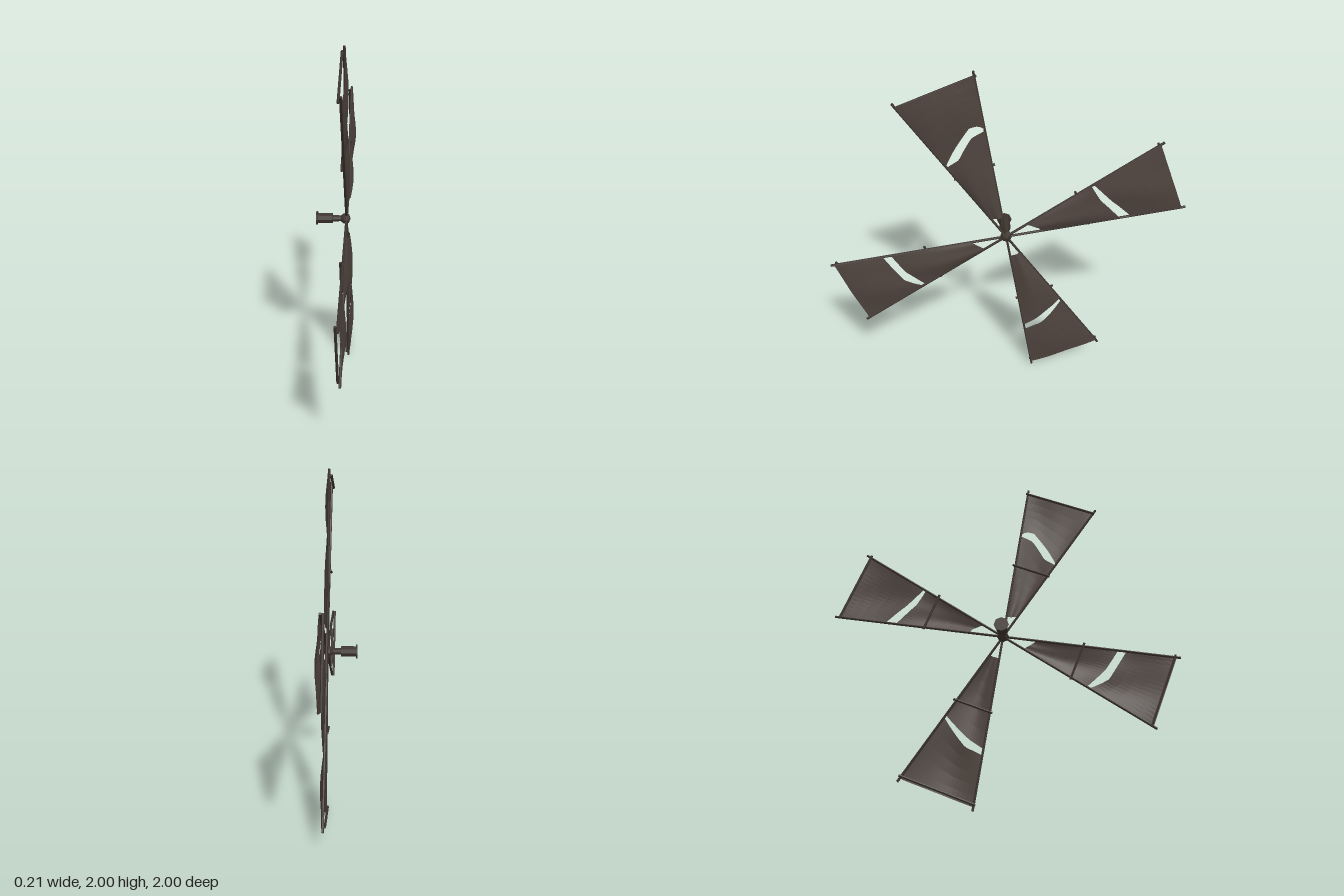
import * as THREE from 'three';

const wood = new THREE.MeshStandardMaterial({ color: 0x3d342e, flatShading: true });
wood.name = 'dark wood';
const canvas = new THREE.MeshStandardMaterial({ color: 0x4e433d, flatShading: true, side: THREE.DoubleSide });
canvas.name = 'worn canvas';

const SLOPE = 0.2235;               // half width of a sail per unit of its length
const HALF = Math.atan(SLOPE);

// Edges across each sail as [side -1..1, distance along sail]: hub end, both lips of the tear
const SAILS = [
  { hub: [[-1, .2], [-.28, .19], [.9, .14], [1, .13]],
    lip: [[-1, .63], [.13, .566], [1, .548]],
    rip: [[-1, .69], [-.09, .623], [1, .562]] },
  { hub: [[-1, .13], [1, .15]],
    lip: [[-1, .667], [-.47, .657], [.32, .567], [1, .545]],
    rip: [[-1, .675], [-.82, .706], [-.51, .715], [1, .55]] },
  { hub: [[-1, .19], [-.8, .18], [1, .13]],
    lip: [[-1, .645], [-.12, .616], [1, .55]],
    rip: [[-1, .69], [.23, .653], [1, .565]] },
  { hub: [[-1, .13], [1, .13]],
    lip: [[-1, .655], [-.34, .631], [1, .55]],
    rip: [[-1, .69], [-.3, .678], [1, .565]] },
];
const TIP = [[-1, .966], [1, .966]];

// Height of an edge polyline at side position f
function edgeAt(edge, f) {
  let i = 0;
  while (i < edge.length - 2 && f > edge[i + 1][0]) i++;
  const [a, b] = [edge[i], edge[i + 1]];
  return THREE.MathUtils.lerp(a[1], b[1], (f - a[0]) / (b[0] - a[0]));
}

// Billowing cloth panel between two edges
function clothPanel(name, inner, outer, rows, phase) {
  const geo = new THREE.PlaneGeometry(2, 1, 16, rows);
  const p = geo.attributes.position;
  for (let i = 0; i < p.count; i++) {
    const f = p.getX(i), v = p.getY(i) + 0.5;
    const s = THREE.MathUtils.lerp(edgeAt(inner, f), edgeAt(outer, f), v);
    const belly = (1 - f * f) * Math.sin(Math.PI * (0.12 + 0.76 * v));
    const wrinkle = 0.003 * (1 - f * f) * Math.sin(9 * s + 4 * f + phase);
    p.setXYZ(i, s, f * s * SLOPE, 0.007 + 0.02 * belly + wrinkle);
  }
  geo.computeVertexNormals();
  const mesh = new THREE.Mesh(geo, canvas);
  mesh.name = name;
  return mesh;
}

// Six-sided wooden rod between two points
function rod(name, a, b, radius) {
  const d = b.clone().sub(a);
  const mesh = new THREE.Mesh(new THREE.CylinderGeometry(radius, radius, d.length(), 6), wood);
  mesh.position.copy(a).addScaledVector(d, 0.5);
  mesh.quaternion.setFromUnitVectors(new THREE.Vector3(0, 1, 0), d.normalize());
  mesh.name = name;
  return mesh;
}

function makeSail(edges, k) {
  const sail = new THREE.Group();
  sail.name = 'sail';
  const V = (x, y, z) => new THREE.Vector3(x, y, z);
  // Two spars in a narrow V
  for (const side of [-1, 1]) {
    const a = side * HALF;
    sail.add(rod('spar', V(0, 0, 0), V(Math.cos(a) * 1.012, Math.sin(a) * 1.012, 0), 0.007));
  }
  // Cross bars behind the spars
  for (const [s, over] of [[0.453, 0.016], [0.955, 0.01]]) {
    const t = s * SLOPE + over;
    sail.add(rod('crossBar', V(s, -t, -0.012), V(s, t, -0.012), 0.007));
  }
  sail.add(clothPanel('innerCloth', edges.hub, edges.lip, 6, k * 1.7));
  sail.add(clothPanel('outerCloth', edges.rip, TIP, 5, k * 2.3 + 1));
  return sail;
}

export function createModel() {
  const model = new THREE.Group();
  model.name = 'windmillSails';
  const rotor = new THREE.Group();
  rotor.name = 'rotor';
  rotor.position.y = 1;
  rotor.rotation.y = Math.PI / 2;
  model.add(rotor);

  // Axle with rear collar and rounded nose
  const profile = [[0, -.105], [.042, -.105], [.042, -.097], [.031, -.095], [.031, -.012],
    [.02, -.01], [.018, .035], [.03, .05], [.034, .066], [.027, .08], [0, .09]]
    .map(([r, y]) => new THREE.Vector2(r, y));
  const axle = new THREE.Mesh(new THREE.LatheGeometry(profile, 8).rotateX(Math.PI / 2), wood);
  axle.name = 'axle';
  rotor.add(axle);

  // Four sails, slightly tilted on the axle
  const wheel = new THREE.Group();
  wheel.name = 'sailWheel';
  wheel.position.z = 0.067;
  wheel.rotation.set(-0.01, -0.007, 0);
  SAILS.forEach((edges, k) => {
    const sail = makeSail(edges, k);
    sail.rotation.z = THREE.MathUtils.degToRad(21.8 + 90 * k);
    wheel.add(sail);
  });
  rotor.add(wheel);
  return model;
}
